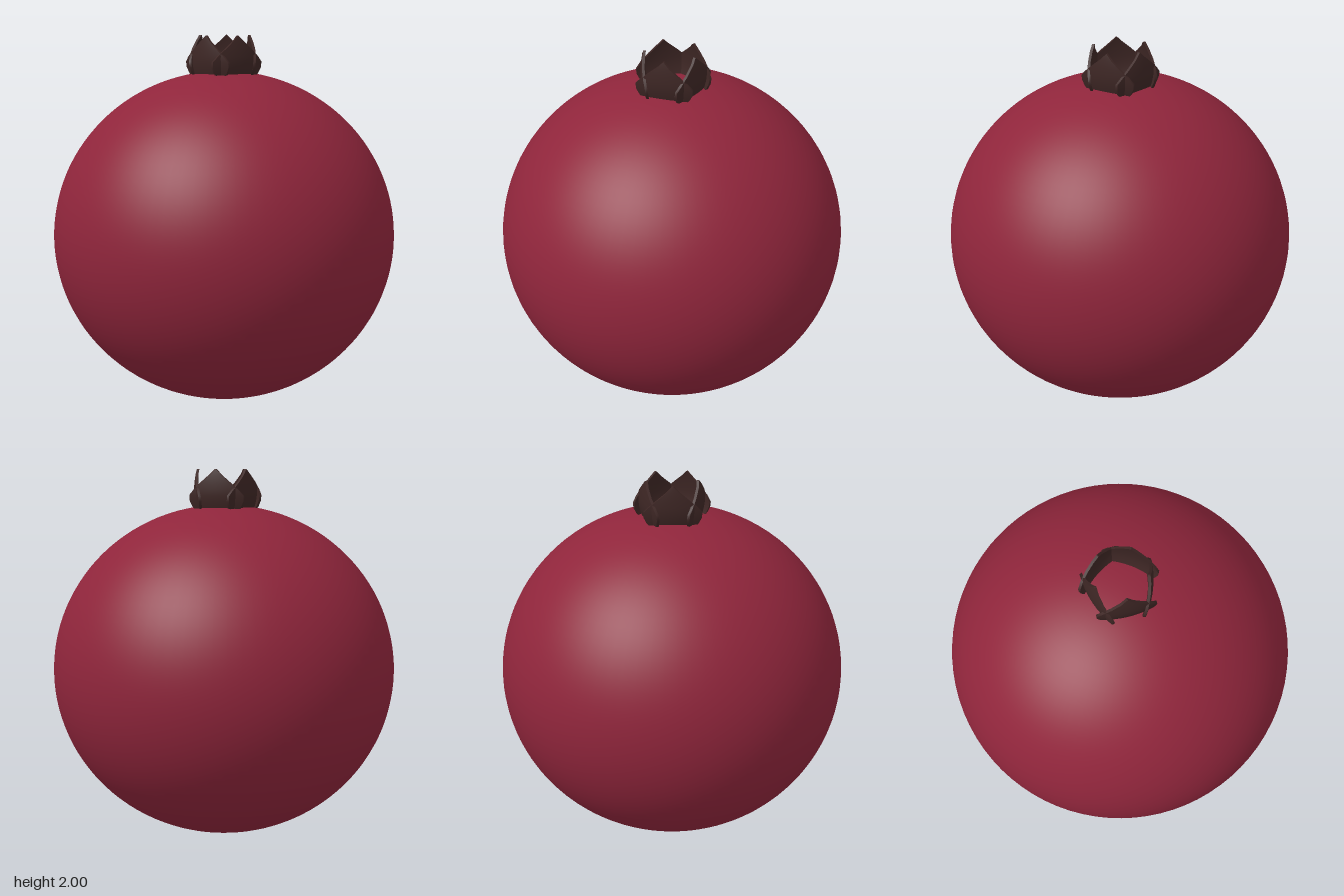
import * as THREE from 'three';

const RADIUS = 0.936, HALF_HEIGHT = 0.903, CENTRE_Y = 0.905;

function material(name, color) {
  const m = new THREE.MeshStandardMaterial({ color });
  m.name = name;
  return m;
}

// Rows of one sepal, base to tip: [height, half width, distance from the axis]
const SEPAL_ROWS = [
  [1.77, 0.11, 0.135],
  [1.80, 0.135, 0.145],
  [1.83, 0.15, 0.152],
  [1.86, 0.152, 0.156],
  [1.89, 0.125, 0.156],
  [1.93, 0.08, 0.153],
  [1.97, 0.032, 0.147],
  [2.00, 0.002, 0.14],
];

// A box bent into a thin pointed leaf that faces +z
function sepalGeometry() {
  const rows = SEPAL_ROWS.length - 1;
  const geo = new THREE.BoxGeometry(2, 1, 1, 8, rows, 1);
  const p = geo.attributes.position;
  for (let i = 0; i < p.count; i++) {
    const [y, half, r] = SEPAL_ROWS[Math.round((p.getY(i) + 0.5) * rows)];
    const x = p.getX(i) * half;
    p.setXYZ(i, x, y, r - x * x + p.getZ(i) * 0.014);
  }
  geo.computeVertexNormals();
  return geo;
}

export function createModel() {
  const model = new THREE.Group();
  model.name = 'pomegranate';
  const skin = material('red skin', 0x8f253b);
  const dry = material('dry brown', 0x3d2624);
  const scar = material('dark base', 0x38271f);

  // Slightly flattened fruit
  const fruit = new THREE.Mesh(new THREE.SphereGeometry(1, 80, 56), skin);
  fruit.name = 'fruit';
  fruit.scale.set(RADIUS, HALF_HEIGHT, RADIUS);
  fruit.position.y = CENTRE_Y;
  model.add(fruit);

  // Thin dark patch hugging the underside
  const angle = Math.asin(0.305 / RADIUS);
  const patch = new THREE.Mesh(
    new THREE.SphereGeometry(1, 48, 8, 0, Math.PI * 2, Math.PI - angle, angle), scar);
  patch.name = 'basePatch';
  patch.scale.set(RADIUS * 1.002, HALF_HEIGHT + 0.002, RADIUS * 1.002);
  patch.position.y = CENTRE_Y;
  model.add(patch);

  // Crown of five overlapping sepals
  const crown = new THREE.Group();
  crown.name = 'crown';
  const geo = sepalGeometry();
  for (let i = 0; i < 5; i++) {
    const sepal = new THREE.Mesh(geo, dry);
    sepal.name = 'sepal';
    sepal.rotation.y = (i * Math.PI * 2) / 5;
    crown.add(sepal);
  }
  model.add(crown);
  return model;
}
